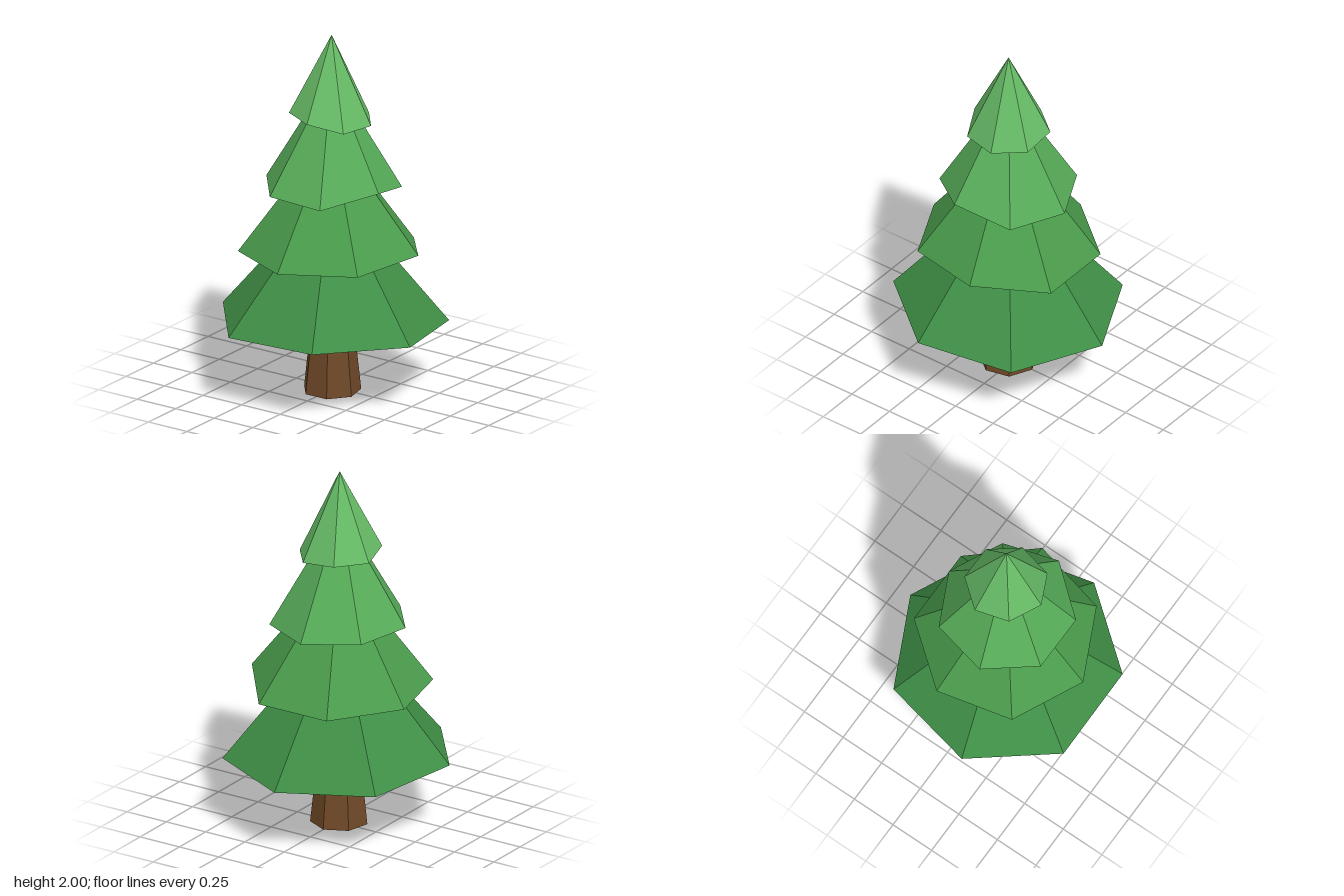
import * as THREE from 'three';

const SIDES = 7;
const STEP = (Math.PI * 2) / SIDES;
const CENTRE_Z = 0.029;

// Each tier: rim radius, apex height, angle of first corner, and the uneven
// rim heights going round from that corner (0 = front, PI = back).
const TIERS = [
  { name: 'bottomFoliage', color: 0x3f8f46, radius: 0.623, apex: 1.15, start: Math.PI,
    rim: [0.372, 0.377, 0.405, 0.4, 0.42, 0.406, 0.377] },
  { name: 'lowerFoliage', color: 0x4a9c4c, radius: 0.497, apex: 1.46, start: 0,
    rim: [0.797, 0.805, 0.823, 0.768, 0.77, 0.783, 0.79] },
  { name: 'upperFoliage', color: 0x57ad59, radius: 0.3735, apex: 1.78, start: Math.PI,
    rim: [1.135, 1.15, 1.156, 1.151, 1.14, 1.204, 1.135] },
  { name: 'topFoliage', color: 0x66bb66, radius: 0.226, apex: 2, start: 0,
    rim: [1.56, 1.517, 1.517, 1.522, 1.54, 1.538, 1.565] },
];

function part(name, geometry, color) {
  const mesh = new THREE.Mesh(
    geometry.toNonIndexed(),
    new THREE.MeshStandardMaterial({ color, flatShading: true })
  );
  mesh.geometry.computeVertexNormals();
  mesh.name = name;
  mesh.position.z = CENTRE_Z;
  return mesh;
}

// Seven-sided cone whose rim corners are moved to their own heights
function foliage({ name, color, radius, apex, start, rim }) {
  const base = rim.reduce((a, b) => a + b) / SIDES;
  const geo = new THREE.ConeGeometry(radius, apex - base, SIDES, 1, false, start);
  geo.translate(0, (apex + base) / 2, 0);
  const pos = geo.attributes.position;
  for (let i = 0; i < pos.count; i++) {
    const x = pos.getX(i), z = pos.getZ(i);
    if (Math.hypot(x, z) < radius * 0.5) continue;
    const corner = Math.round((Math.atan2(x, z) - start) / STEP);
    pos.setY(i, rim[(corner + 2 * SIDES) % SIDES]);
  }
  return part(name, geo, color);
}

export function createModel() {
  const tree = new THREE.Group();
  tree.name = 'tree';

  // Tapered trunk, running up into the bottom tier
  const trunk = new THREE.CylinderGeometry(0.104, 0.157, 0.5, SIDES, 1, false, Math.PI);
  trunk.translate(0, 0.25, 0);
  tree.add(part('trunk', trunk, 0x6f4827));

  // Stacked foliage tiers
  for (const tier of TIERS) tree.add(foliage(tier));
  return tree;
}
